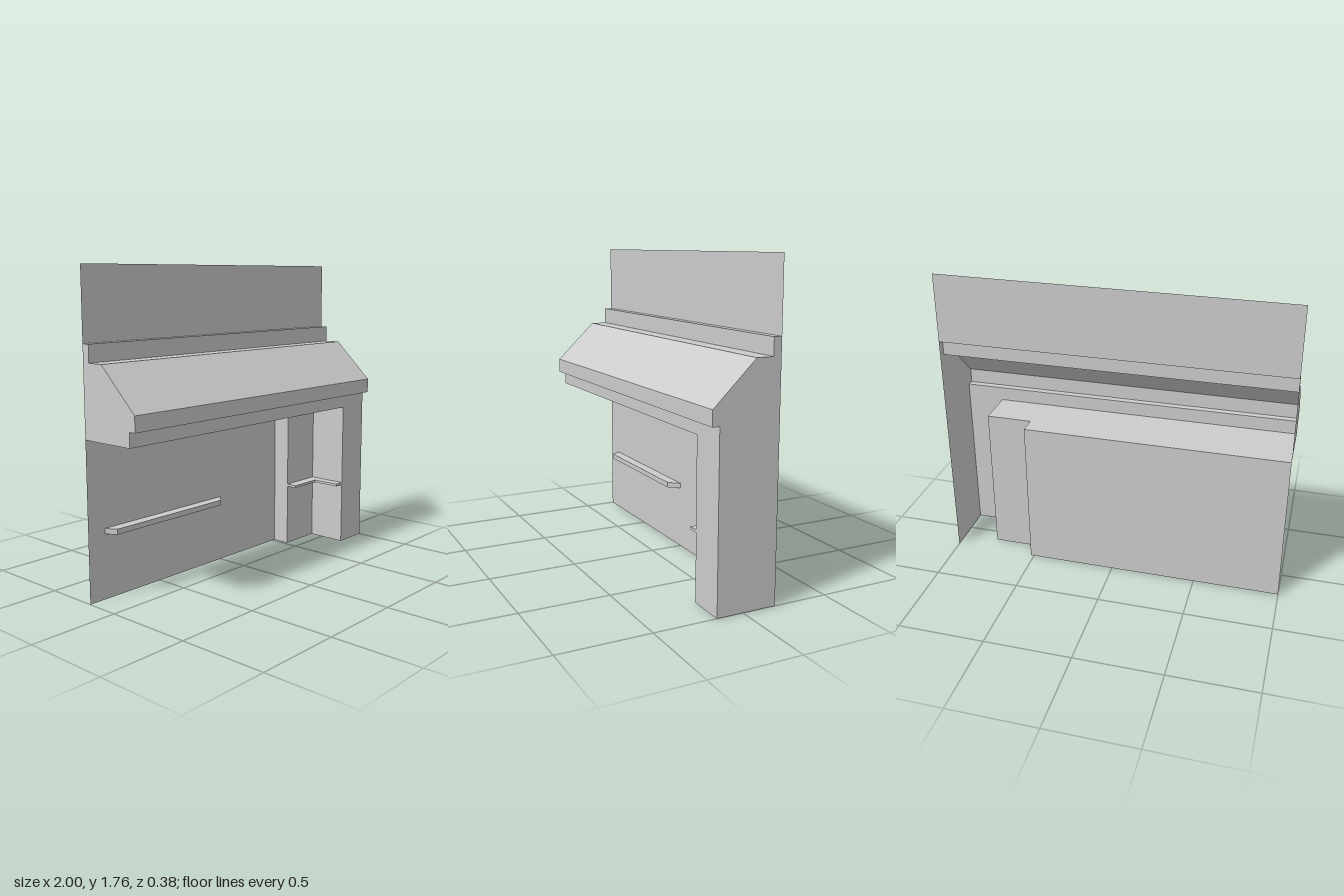
import * as THREE from 'three';

const grey = new THREE.MeshStandardMaterial({ color: 0xcccccc, side: THREE.DoubleSide });
grey.name = 'plainGrey';

const BACK = -0.19, FRONT = 0.15, RECESS = -0.085, SOFFIT = 0.88;

// Sweep an open line of points along a vector, giving a flat-faced thin sheet
function sheet(points, sweep) {
  const out = [];
  for (let i = 0; i < points.length - 1; i++) {
    const a = points[i], b = points[i + 1];
    const c = b.clone().add(sweep), d = a.clone().add(sweep);
    for (const p of [a, b, c, a, c, d]) out.push(p.x, p.y, p.z);
  }
  const g = new THREE.BufferGeometry();
  g.setAttribute('position', new THREE.Float32BufferAttribute(out, 3));
  g.computeVertexNormals();
  return g;
}

const shapeOf = (pts) => new THREE.Shape(pts.map(([u, v]) => new THREE.Vector2(u, v)));

// Horizontal slab from an (x, z) outline, with its top at the given height
function slab(outline, top, thickness) {
  const g = new THREE.ExtrudeGeometry(shapeOf(outline), { depth: thickness, bevelEnabled: false });
  return g.rotateX(Math.PI / 2).translate(0, top, 0);
}

// Upright end sheet from a (z, y) outline, facing out on side -1 or 1
function endSheet(outline, side) {
  const g = new THREE.ShapeGeometry(shapeOf(outline.map(([z, y]) => [-side * z, y])));
  return g.rotateY(side * Math.PI / 2).translate(side, 0, 0);
}

export function createModel() {
  const group = new THREE.Group();
  group.name = 'shopFront';
  const add = (name, geometry) => {
    const mesh = new THREE.Mesh(geometry, grey);
    mesh.name = name;
    group.add(mesh);
  };

  // Parapet, sloping canopy, lip and fascia as one (z, y) profile
  const profile = [
    [BACK, 1.37], [-0.145, 1.37], [-0.145, 1.275], [-0.05, 1.275],
    [0.19, 1.045], [0.19, 0.96], [FRONT, 0.96], [FRONT, SOFFIT],
  ];
  add('canopy', sheet(profile.map(([z, y]) => new THREE.Vector3(-1, y, z)), new THREE.Vector3(2, 0, 0)));

  // Flat wall above the parapet
  add('upperWall', new THREE.PlaneGeometry(2, 0.395).translate(0, 1.5675, BACK));

  // Lower wall, door recess and pillar follow one (x, z) floor plan
  const plan = [[-1, BACK], [0.52, BACK], [0.52, RECESS], [0.785, RECESS], [0.785, FRONT], [1, FRONT]];
  add('lowerWall', sheet(plan.map(([x, z]) => new THREE.Vector3(x, 0, z)), new THREE.Vector3(0, SOFFIT, 0)));

  // Underside of the canopy, down-facing
  const soffit = new THREE.ShapeGeometry(shapeOf([...plan.slice(0, 5), [-1, FRONT]]));
  add('soffit', soffit.rotateX(Math.PI / 2).translate(0, SOFFIT, 0));

  // End sheets: canopy only on one end, full height at the pillar
  add('canopyEnd', endSheet([...profile, [BACK, SOFFIT]], -1));
  add('pillarSide', endSheet([...profile, [FRONT, 0], [BACK, 0]], 1));

  // Long ledge with angled ends
  add('wallLedge', slab([[-0.89, BACK], [0, BACK], [-0.055, -0.13], [-0.855, -0.13]], 0.39, 0.03));

  // L-shaped counter inside the recess
  add('recessCounter', slab([
    [0.52, RECESS], [0.785, RECESS], [0.785, FRONT], [0.725, FRONT], [0.725, -0.02], [0.52, -0.02],
  ], 0.39, 0.015));

  return group;
}
